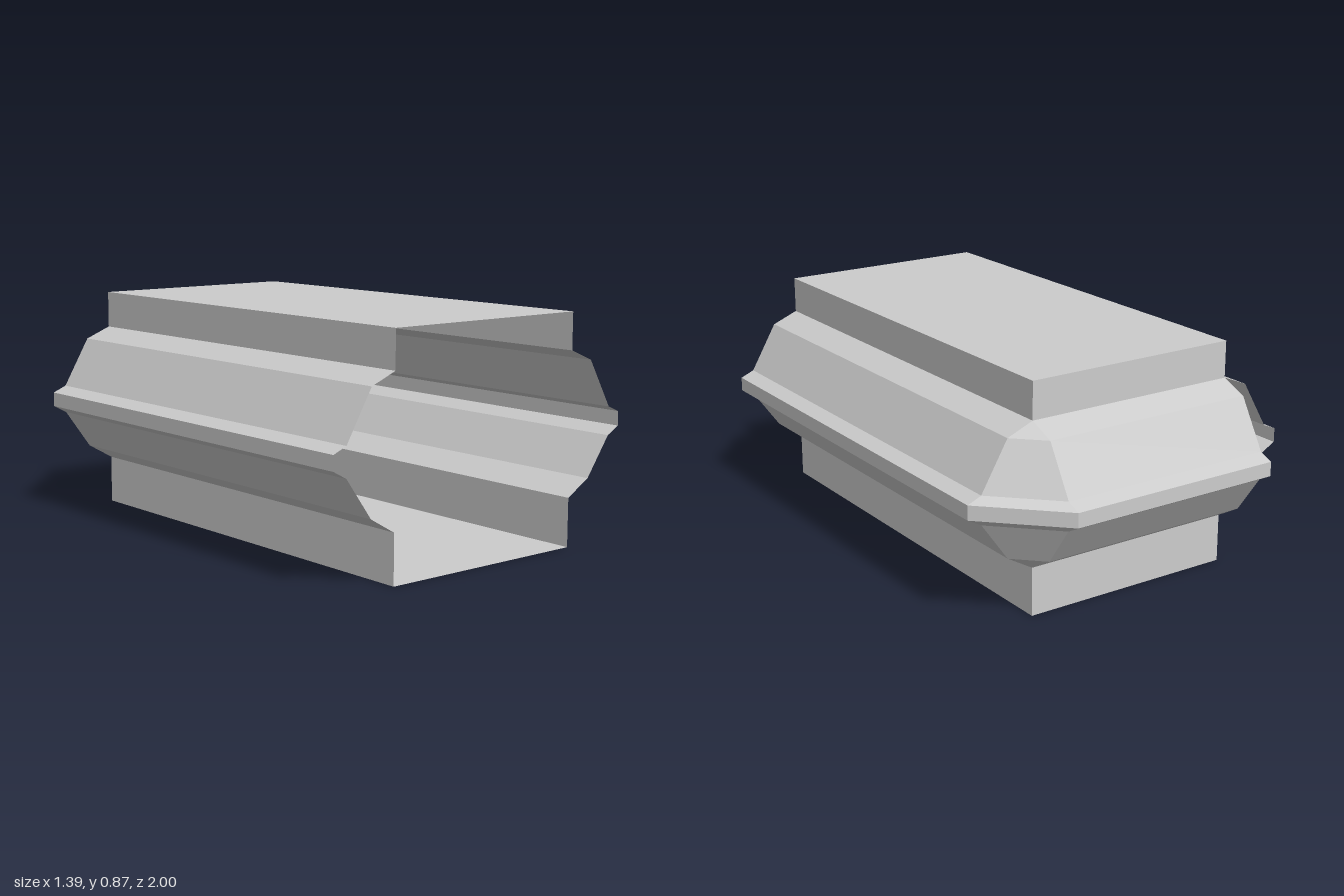
import * as THREE from 'three';

// Box body footprint and moulding profile: [outward offset, height], top to bottom
const HALF_X = 0.43, BACK_Z = -0.735, FRONT_Z = 1, TOP_Y = 0.868;
const PROFILE = [
  [0, TOP_Y], [0, 0.727], [0.103, 0.685], [0.21, 0.502], [0.265, 0.479],
  [0.265, 0.424], [0.21, 0.394], [0.103, 0.245], [0, 0.185], [0, 0],
];

// Sweeps the profile between two ends; each end maps an offset to [x, z].
// Seen from outside, endA is on the left and endB on the right.
function profileSheet(endA, endB, profile) {
  const positions = [];
  const point = (end, [d, y]) => {
    const [x, z] = end(d);
    return [x, y, z];
  };
  for (let i = 0; i < profile.length - 1; i++) {
    const p = profile[i], q = profile[i + 1];
    const a = point(endA, p), b = point(endA, q);
    const c = point(endB, q), d = point(endB, p);
    if (b.join() !== c.join()) positions.push(...a, ...b, ...c);
    if (a.join() !== d.join()) positions.push(...a, ...c, ...d);
  }
  const geometry = new THREE.BufferGeometry();
  geometry.setAttribute('position', new THREE.Float32BufferAttribute(positions, 3));
  geometry.computeVertexNormals();
  return geometry;
}

export function createModel() {
  const group = new THREE.Group();
  group.name = 'mouldedShell';
  const grey = new THREE.MeshStandardMaterial({
    name: 'grey', color: 0xcccccc, flatShading: true, side: THREE.DoubleSide,
  });
  const add = (name, geometry) => {
    const mesh = new THREE.Mesh(geometry, grey);
    mesh.name = name;
    group.add(mesh);
    return mesh;
  };

  // Ends of the wall runs
  const leftFront = d => [HALF_X + d, FRONT_Z];
  const leftBack = d => [HALF_X + d, BACK_Z];
  const backLeft = d => [HALF_X, BACK_Z - d];
  const backRight = d => [-HALF_X, BACK_Z - d];
  const rightBack = d => [-HALF_X - d, BACK_Z];
  const rightFront = d => [-HALF_X - d, FRONT_Z];

  // Thin walls with moulding; only one back corner is closed, the front is open
  add('leftWall', profileSheet(leftFront, leftBack, PROFILE));
  add('backLeftCorner', profileSheet(leftBack, backLeft, PROFILE.slice(1, -1)));
  add('backWall', profileSheet(backLeft, backRight, PROFILE));
  add('rightWall', profileSheet(rightBack, rightFront, PROFILE));

  // Flat top and floor
  const midZ = (FRONT_Z + BACK_Z) / 2;
  for (const [name, y, turn] of [['topPanel', TOP_Y, -1], ['floorPanel', 0, 1]]) {
    const panel = new THREE.PlaneGeometry(HALF_X * 2, FRONT_Z - BACK_Z);
    panel.rotateX(turn * Math.PI / 2);
    add(name, panel).position.set(0, y, midZ);
  }
  return group;
}
